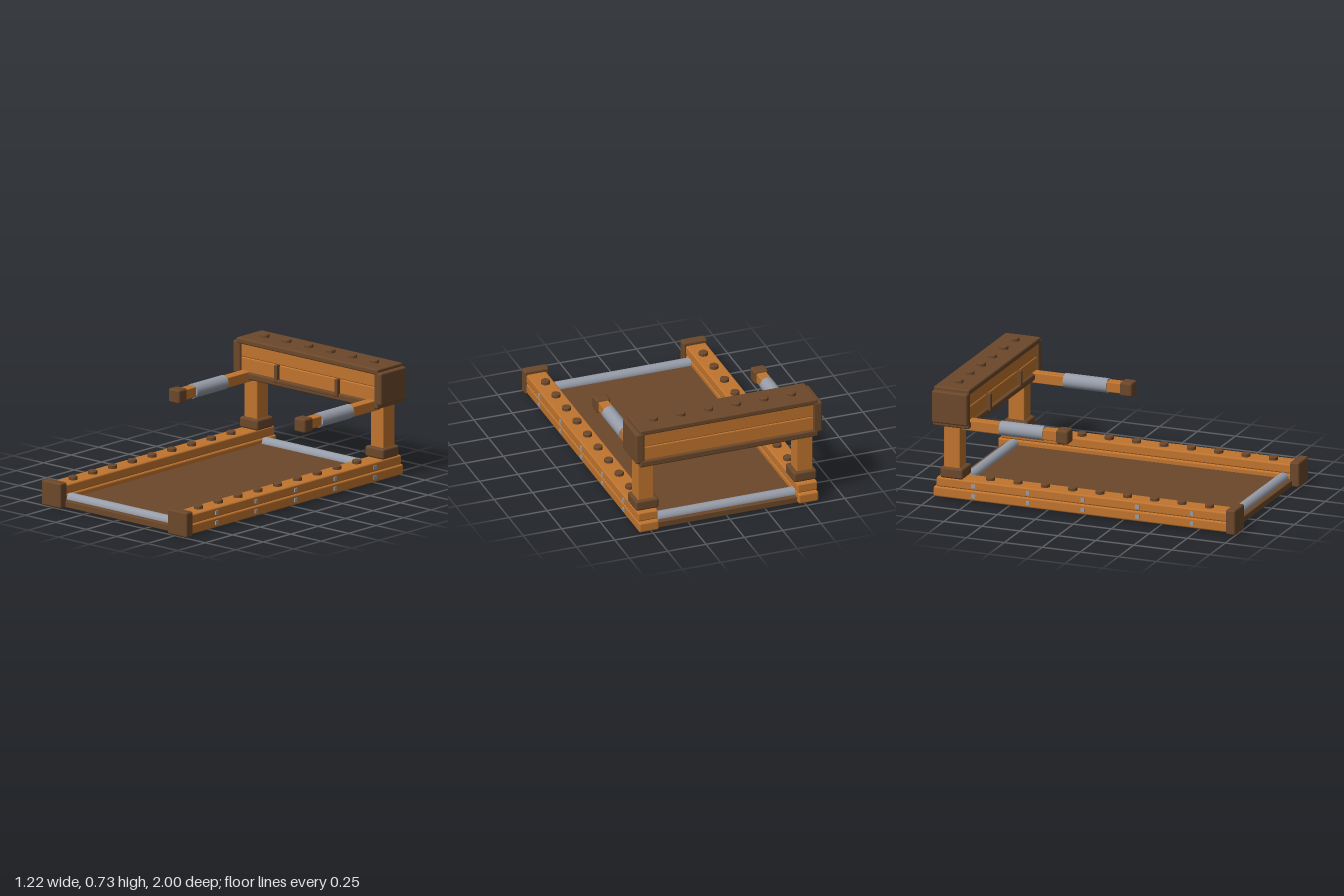
import * as THREE from 'three';
import { RoundedBoxGeometry } from 'three/addons/geometries/RoundedBoxGeometry.js';

export function createModel() {
  const model = new THREE.Group();
  model.name = 'treadmill';
  const wood = new THREE.MeshStandardMaterial({ color: 0xc0742e });
  const dark = new THREE.MeshStandardMaterial({ color: 0x6c482b });
  const metal = new THREE.MeshStandardMaterial({ color: 0x969ca8 });

  const add = (name, geometry, material, x, y, z) => {
    const mesh = new THREE.Mesh(geometry, material);
    mesh.name = name;
    mesh.position.set(x, y, z);
    model.add(mesh);
    return mesh;
  };
  // Rounded box given by its limits along each axis
  const box = (name, material, [x0, x1], [y0, y1], [z0, z1], r = 0.008) =>
    add(name, new RoundedBoxGeometry(x1 - x0, y1 - y0, z1 - z0, 2, r), material,
      (x0 + x1) / 2, (y0 + y1) / 2, (z0 + z1) / 2);
  // The same box on both sides of the model
  const pair = (name, material, [x0, x1], y, z, r) => {
    box(name + 'Left', material, [x0, x1], y, z, r);
    box(name + 'Right', material, [-x1, -x0], y, z, r);
  };
  // Round peg with a chamfered top, standing on y
  const pegShape = new THREE.LatheGeometry([[0, 0], [0.028, 0], [0.028, 0.019], [0.024, 0.023], [0, 0.023]]
    .map(([r, y]) => new THREE.Vector2(r, y)), 16);
  const peg = (x, y, z) => {
    const mesh = add('peg', pegShape, dark, x, y, z);
    mesh.material = dark;
  };
  pegShape.copy(pegShape.toNonIndexed());
  pegShape.computeVertexNormals();

  // Running deck with a roller at each end
  box('deck', dark, [-0.46, 0.46], [0.003, 0.045], [-0.955, 0.955], 0.006);
  for (const z of [0.888, -0.888]) {
    const roller = add('roller', new THREE.CylinderGeometry(0.036, 0.036, 0.92, 20), metal, 0, 0.045, z);
    roller.rotation.z = Math.PI / 2;
  }

  // Side rails of two stacked planks, with end blocks
  pair('lowerRail', wood, [0.455, 0.585], [0.01, 0.076], [-0.99, 0.955], 0.012);
  pair('upperRail', wood, [0.455, 0.585], [0.077, 0.137], [-0.97, 0.955], 0.01);
  pair('railEndBlock', dark, [0.438, 0.595], [0.001, 0.16], [0.938, 1.0], 0.012);
  for (const side of [-1, 1]) {
    for (let i = 0; i < 9; i++) peg(side * 0.515, 0.136, 0.8 - i * 0.18);
    for (let i = 0; i < 5; i++)
      for (const y of [0.043, 0.106])
        add('bolt', new THREE.BoxGeometry(0.02, 0.024, 0.024), metal, side * 0.582, y, 0.715 - i * 0.36);
  }

  // Uprights
  pair('postBase', dark, [0.44, 0.59], [0.137, 0.205], [-0.945, -0.795], 0.014);
  pair('post', wood, [0.465, 0.57], [0.19, 0.48], [-0.925, -0.82], 0.006);

  // Handles
  pair('handleBar', wood, [0.482, 0.548], [0.445, 0.511], [-0.82, -0.17], 0.006);
  pair('handleEnd', dark, [0.47, 0.56], [0.433, 0.523], [-0.195, -0.115], 0.014);
  for (const x of [-0.515, 0.515]) {
    const grip = add('grip', new THREE.CylinderGeometry(0.045, 0.045, 0.285, 20), metal, x, 0.478, -0.427);
    grip.rotation.x = Math.PI / 2;
  }

  // Console of planks inside a dark frame
  box('consoleFloor', dark, [-0.58, 0.58], [0.462, 0.505], [-0.995, -0.757], 0.01);
  box('lowerConsolePlank', wood, [-0.56, 0.56], [0.5, 0.594], [-0.98, -0.772], 0.008);
  box('upperConsolePlank', wood, [-0.56, 0.56], [0.594, 0.685], [-0.98, -0.772], 0.008);
  box('consoleLid', dark, [-0.58, 0.58], [0.678, 0.714], [-0.99, -0.755], 0.01);
  pair('consoleEnd', dark, [0.55, 0.608], [0.488, 0.693], [-0.993, -0.757], 0.012);
  for (let i = 0; i < 6; i++) peg(-0.45 + i * 0.18, 0.712, -0.875);

  // Small rest on the console front
  pair('restSide', dark, [0.235, 0.26], [0.488, 0.598], [-0.78, -0.745], 0.005);
  box('restBottom', dark, [-0.26, 0.26], [0.485, 0.506], [-0.78, -0.747], 0.005);

  return model;
}
